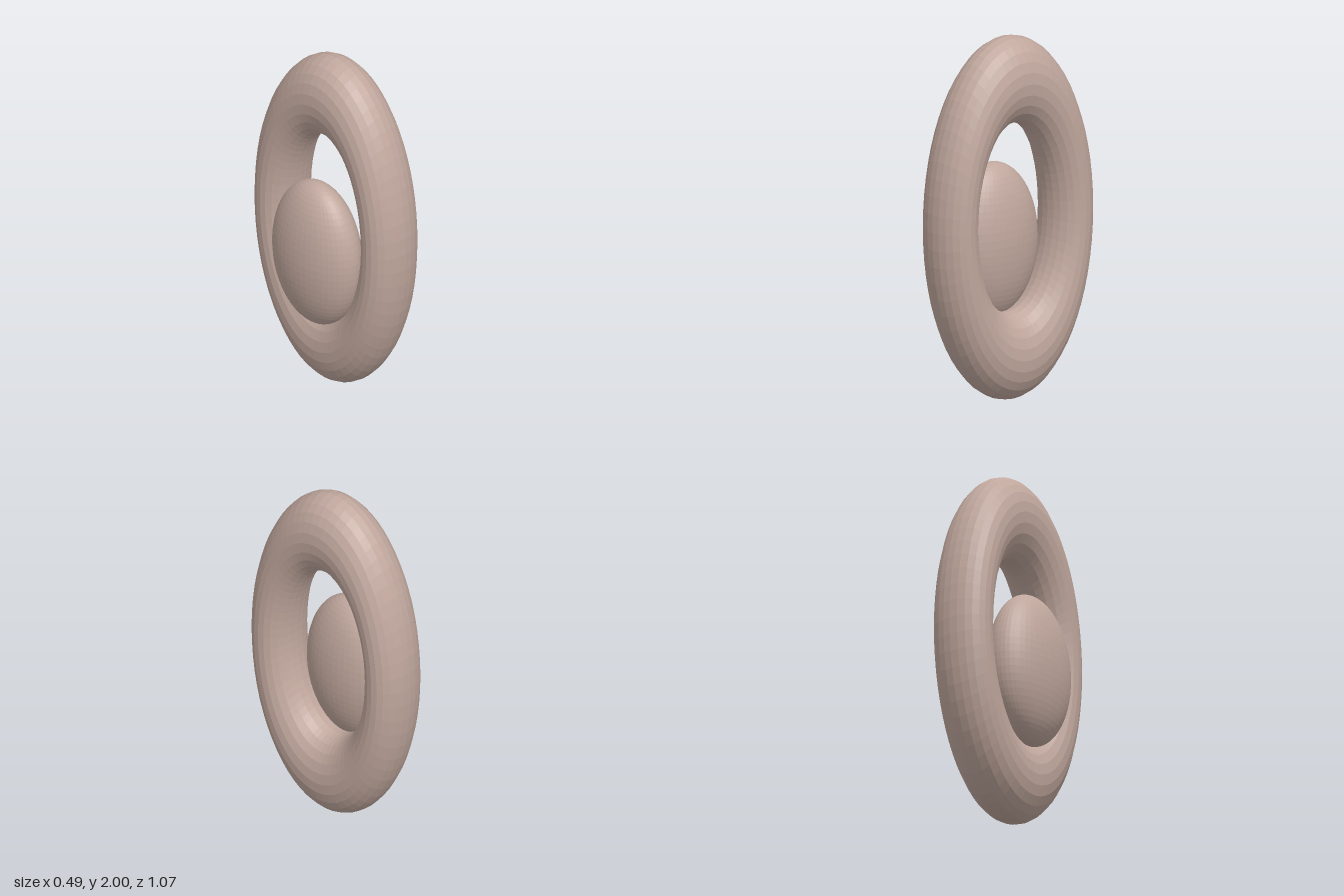
import * as THREE from 'three';

export function createModel() {
  const model = new THREE.Group();
  const clay = new THREE.MeshStandardMaterial({ color: 0xc0a79d, flatShading: true });
  clay.name = 'dusty pink clay';

  function addPart(name, geometry, size, position) {
    geometry.scale(...size);
    const part = new THREE.Mesh(geometry, clay);
    part.name = name;
    part.position.set(...position);
    model.add(part);
  }

  // Tall oval ring standing upright, its hole facing sideways
  const ring = new THREE.TorusGeometry(0.76, 0.24, 24, 64).rotateY(Math.PI / 2);
  addPart('ovalRing', ring, [0.717, 1, 0.533], [0.07, 1, 0]);

  // Flattened egg-shaped body resting in the right side of the hole
  const body = new THREE.SphereGeometry(1, 48, 32);
  addPart('ovalBody', body, [0.175, 0.433, 0.295], [-0.07, 0.845, 0]);

  return model;
}
